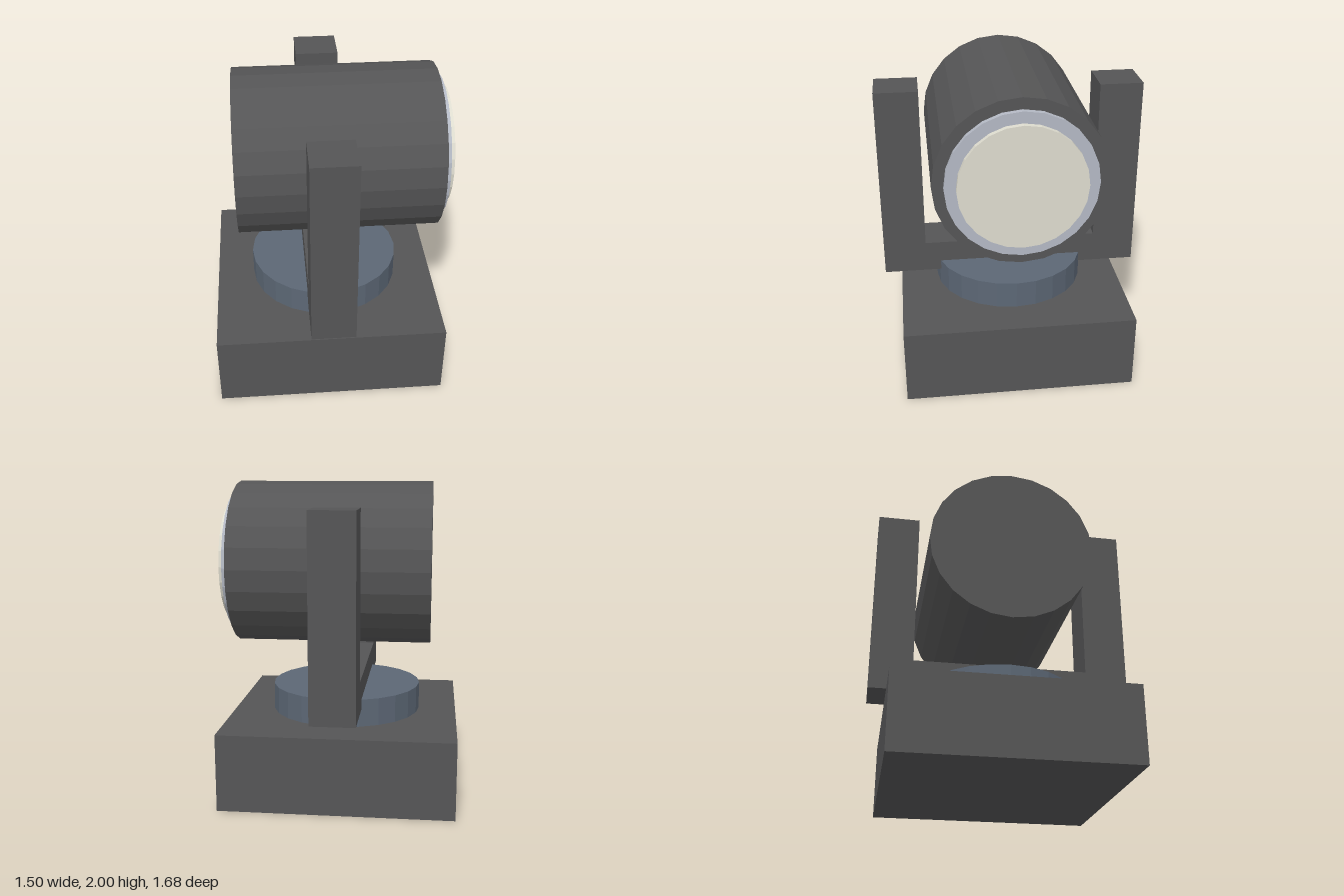
import * as THREE from 'three';

const SIDES = 24;

export function createModel() {
  const model = new THREE.Group();
  model.name = 'spotlight';

  const material = (color) => new THREE.MeshStandardMaterial({ color, flatShading: true });
  const body = material(0x555556);
  const steel = material(0x5c6775);
  const rim = material(0xb4b9c4);
  const glass = material(0xdedccf);

  function add(name, geometry, mat, x, y, z, parent = model) {
    const mesh = new THREE.Mesh(geometry, mat);
    mesh.name = name;
    mesh.position.set(x, y, z);
    parent.add(mesh);
    return mesh;
  }

  // Square base with a round turntable
  add('base', new THREE.BoxGeometry(1.47, 0.49, 1.47), body, -0.02, 0.245, 0);
  add('turntable', new THREE.CylinderGeometry(0.49, 0.49, 0.175, SIDES), steel, -0.02, 0.5775, 0);

  // U-shaped yoke: crossbar and two upright arms
  const yoke = new THREE.Group();
  yoke.name = 'yoke';
  model.add(yoke);
  add('crossbar', new THREE.BoxGeometry(0.28, 0.205, 1.13), body, -0.02, 0.7025, 0, yoke);
  for (const side of [-1, 1]) {
    add(side > 0 ? 'frontArm' : 'backArm',
      new THREE.BoxGeometry(0.28, 1.26, 0.275), body, -0.02, 1.23, side * 0.7025, yoke);
  }

  // Lamp head: stacked cylinders lying along x, facing +x
  const head = new THREE.Group();
  head.name = 'lampHead';
  head.position.y = 1.475;
  model.add(head);
  const disc = (name, radius, x0, x1, mat) => add(name,
    new THREE.CylinderGeometry(radius, radius, x1 - x0, SIDES).rotateZ(-Math.PI / 2),
    mat, (x0 + x1) / 2, 0, 0, head);
  disc('barrel', 0.525, -0.58, 0.68, body);
  disc('lensRim', 0.455, 0.6, 0.715, rim);
  disc('lens', 0.385, 0.65, 0.75, glass);

  return model;
}
